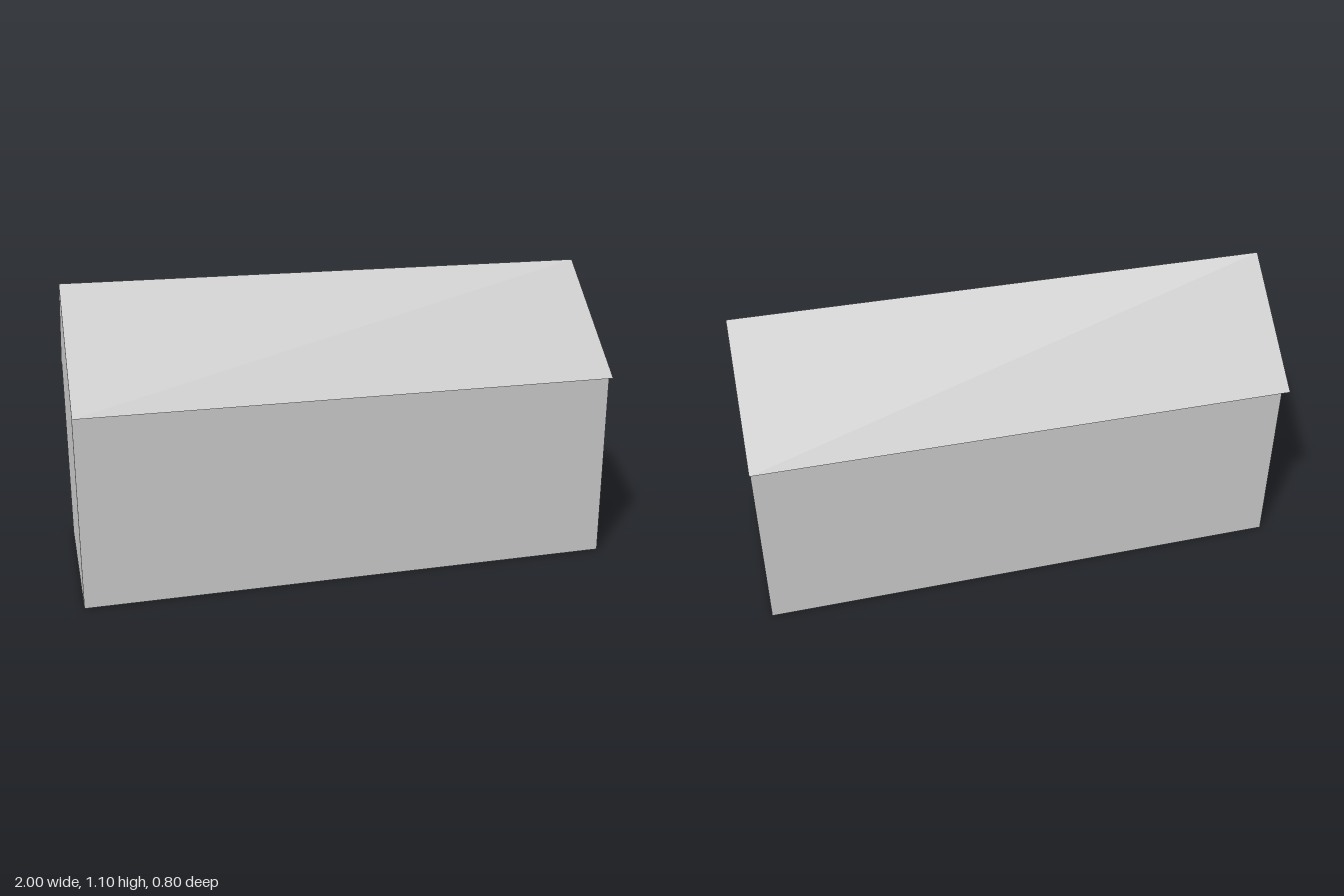
import * as THREE from 'three';

const EAVE = 0.71, RIDGE = 1.096, HALF_DEPTH = 0.4;

export function createModel() {
  const model = new THREE.Group();
  const material = new THREE.MeshStandardMaterial({ color: 0xcccccc, flatShading: true });

  // Long box of walls, set slightly forward under the roof
  const back = -0.342, front = 0.374, left = 0.997, right = -1;
  const walls = new THREE.Mesh(
    new THREE.BoxGeometry(left - right, EAVE, front - back), material);
  walls.name = 'walls';
  walls.position.set((left + right) / 2, EAVE / 2, (front + back) / 2);
  model.add(walls);

  // Solid gable roof: triangular section drawn in z and y, extruded along x
  const section = new THREE.Shape([
    new THREE.Vector2(-HALF_DEPTH, EAVE),
    new THREE.Vector2(HALF_DEPTH, EAVE),
    new THREE.Vector2(0, RIDGE),
  ]);
  const roofGeometry = new THREE.ExtrudeGeometry(section, { depth: 2, bevelEnabled: false });
  roofGeometry.translate(0, 0, -1).rotateY(Math.PI / 2);
  const roof = new THREE.Mesh(roofGeometry, material);
  roof.name = 'gableRoof';
  model.add(roof);

  return model;
}
